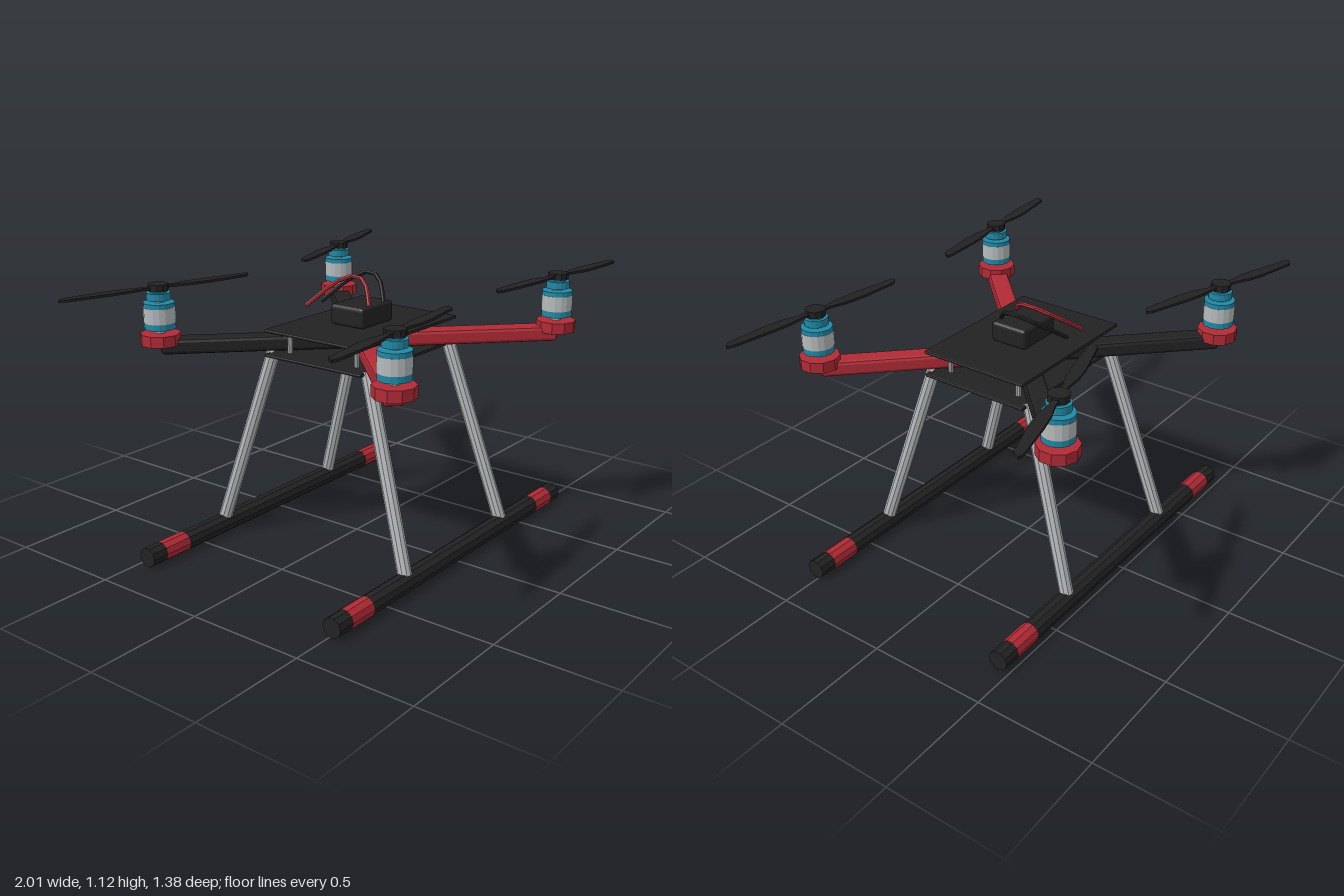
import * as THREE from 'three';
import { RoundedBoxGeometry } from 'three/addons/geometries/RoundedBoxGeometry.js';

const mat = (name, color) => {
  const m = new THREE.MeshStandardMaterial({ color });
  m.name = name;
  return m;
};

export function createModel() {
  const black = mat('black', 0x222222);
  const red = mat('red', 0xb02a35);
  const blue = mat('blue', 0x2088a4);
  const silver = mat('silver', 0xb6babc);
  const model = new THREE.Group();
  const midZ = 0.03;

  // Faceted mesh
  const add = (parent, name, geo, material, x = 0, y = 0, z = 0) => {
    const g = geo.index ? geo.toNonIndexed() : geo;
    g.computeVertexNormals();
    const mesh = new THREE.Mesh(g, material);
    mesh.name = name;
    mesh.position.set(x, y, z);
    parent.add(mesh);
    return mesh;
  };
  const group = (name, x = 0, y = 0, z = 0) => {
    const g = new THREE.Group();
    g.name = name;
    g.position.set(x, y, z);
    model.add(g);
    return g;
  };
  // Upright cylinder between two heights
  const drum = (parent, name, r, y0, y1, material, sides = 10) =>
    add(parent, name, new THREE.CylinderGeometry(r, r, y1 - y0, sides), material, 0, (y0 + y1) / 2, 0);
  // Straight rod between two points
  const rod = (name, a, b, r, material) => {
    const d = b.clone().sub(a);
    const m = add(model, name, new THREE.CylinderGeometry(r, r, d.length(), 10), material);
    m.position.copy(a).add(b).multiplyScalar(0.5);
    m.quaternion.setFromUnitVectors(new THREE.Vector3(0, 1, 0), d.normalize());
  };

  // Centre plates and the electronics box
  add(model, 'topPlate', new RoundedBoxGeometry(0.67, 0.015, 0.49, 1, 0.006), black, 0, 0.935, midZ);
  add(model, 'bottomPlate', new RoundedBoxGeometry(0.67, 0.015, 0.49, 1, 0.006), black, 0, 0.832, midZ);
  add(model, 'electronicsBox', new RoundedBoxGeometry(0.212, 0.086, 0.168, 2, 0.015), black, -0.003, 0.985, 0.03);

  // Two arched cables
  const path = [[-0.055, 1.025, 0.105], [0.02, 1.095, 0.03], [0.052, 1.118, -0.04],
    [0.025, 1.095, -0.11], [-0.105, 1, -0.185]];
  [[0, red, 'redCable'], [0.1, black, 'blackCable']].forEach(([dx, material, name]) => {
    const curve = new THREE.CurvePath();
    const pts = path.map(([x, y, z]) => new THREE.Vector3(x + dx, y, z));
    const spline = new THREE.CatmullRomCurve3(pts);
    add(model, name, new THREE.TubeGeometry(spline, 8, 0.009, 6), material);
  });

  // Propeller blade outline, from hub to tip
  const blade = new THREE.Shape();
  blade.moveTo(0, -0.014);
  [[0.07, -0.012], [0.14, -0.027], [0.22, -0.03], [0.4, -0.018], [0.424, 0.008],
    [0.4, 0.018], [0.22, 0.024], [0.14, 0.022], [0.07, 0.012], [0, 0.014]]
    .forEach(([x, y]) => blade.lineTo(x, y));
  const bladeGeometry = () => new THREE.ExtrudeGeometry(blade, { depth: 0.01, bevelEnabled: false })
    .rotateX(-Math.PI / 2);

  for (const sx of [-1, 1]) {
    for (const sz of [-1, 1]) {
      const front = sz > 0;

      // Diagonal arm
      const arm = group('arm', 0, 0.873, midZ);
      arm.rotation.y = Math.atan2(sx, sz);
      add(arm, 'armBeam', new RoundedBoxGeometry(0.086, 0.064, 0.782, 1, 0.014),
        front ? red : black, 0, 0, 0.432);

      // Motor on its round mount
      const motor = group('motor', sx * 0.582, 0, midZ + sz * 0.582);
      drum(motor, 'motorMount', 0.083, 0.88, 0.926, red);
      drum(motor, 'motorShaft', 0.02, 0.92, 1.105, silver);
      drum(motor, 'lowerBand', 0.064, 0.945, 0.971, blue, 16);
      drum(motor, 'motorBody', 0.065, 0.971, 1.034, silver, 16);
      drum(motor, 'upperBand', 0.064, 1.034, 1.053, blue, 16);
      drum(motor, 'motorCap', 0.049, 1.063, 1.093, blue, 16);
      drum(motor, 'capNeck', 0.034, 1.09, 1.102, blue, 16);

      // Two-bladed propeller
      const prop = group('propeller', sx * 0.582, 0, midZ + sz * 0.582);
      prop.rotation.y = front ? -sx * 0.11 : sx * 0.285;
      drum(prop, 'hub', 0.042, 1.1, 1.127, black);
      for (const turn of [0, Math.PI]) {
        add(prop, 'blade', bladeGeometry(), black, 0, 1.108, 0).rotation.y = turn;
      }

      // Landing leg and plate spacer
      rod('leg', new THREE.Vector3(sx * 0.355, 0.07, midZ + sz * 0.478),
        new THREE.Vector3(sx * 0.282, 0.84, midZ + sz * 0.24), 0.029, silver);
      rod('spacer', new THREE.Vector3(sx * 0.26, 0.835, midZ + sz * 0.17),
        new THREE.Vector3(sx * 0.26, 0.935, midZ + sz * 0.17), 0.011, silver);
    }
  }

  // Landing skids with red bands
  for (const sz of [-1, 1]) {
    const skid = group('skid', 0, 0.043, midZ + sz * 0.48);
    skid.rotation.z = Math.PI / 2;
    drum(skid, 'skidTube', 0.042, -0.815, 0.815, black);
    drum(skid, 'skidBand', 0.043, 0.61, 0.74, red);
    drum(skid, 'skidBand', 0.043, -0.74, -0.61, red);
  }
  return model;
}
